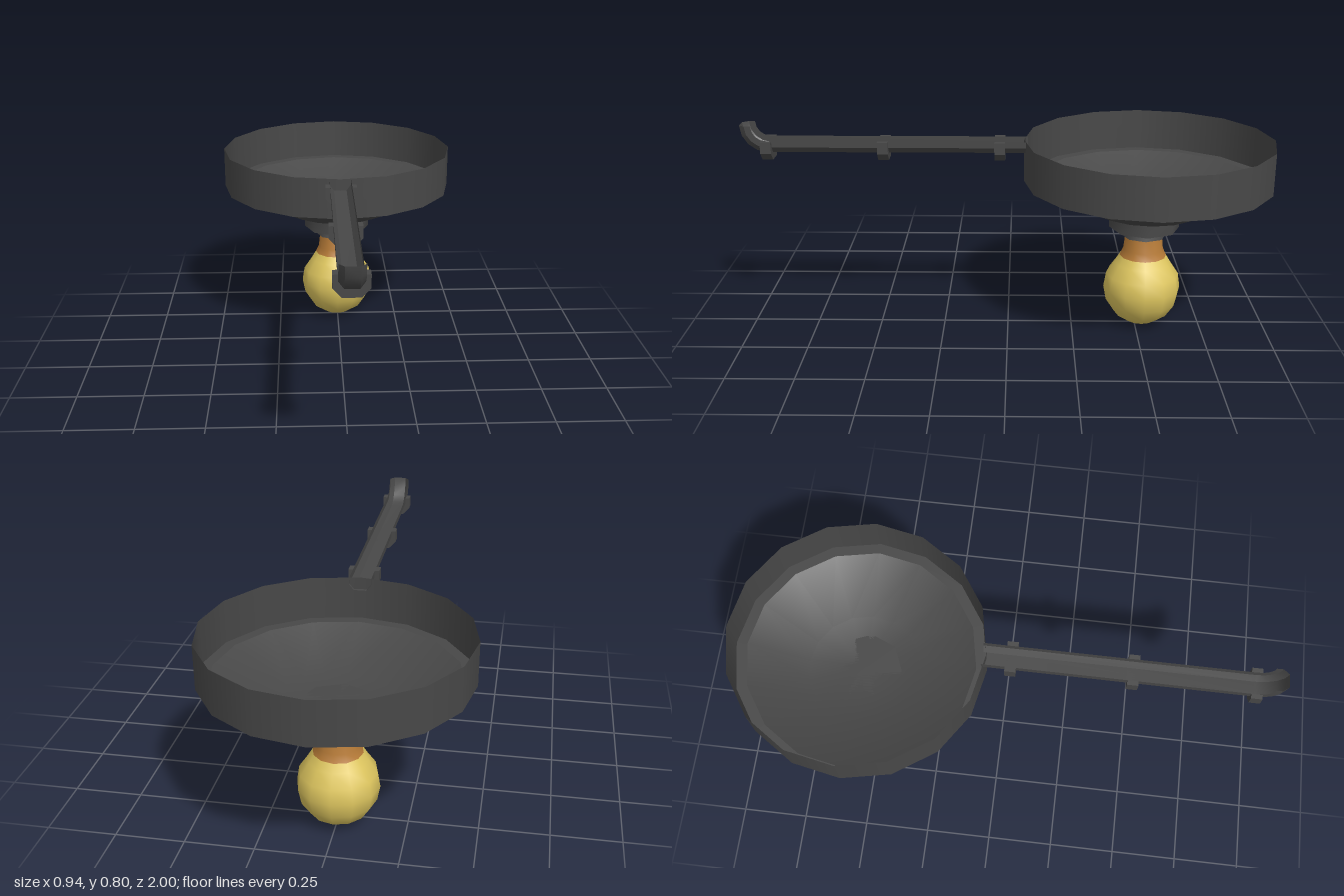
import * as THREE from 'three';
import { toCreasedNormals } from 'three/addons/utils/BufferGeometryUtils.js';

export function createModel() {
  const model = new THREE.Group();
  const iron = new THREE.MeshStandardMaterial({ color: 0x484848, side: THREE.DoubleSide });
  iron.name = 'dark iron';
  const copper = new THREE.MeshStandardMaterial({ color: 0xb87c38 });
  copper.name = 'copper';
  const glass = new THREE.MeshStandardMaterial({ color: 0xdec65f });
  glass.name = 'yellow glass';

  const add = (name, geometry, material, x = 0, y = 0, z = 0) => {
    const mesh = new THREE.Mesh(geometry, material);
    mesh.name = name;
    mesh.position.set(x, y, z);
    model.add(mesh);
    return mesh;
  };
  const lathe = (points, sides) =>
    new THREE.LatheGeometry(points.map(([r, y]) => new THREE.Vector2(r, y)), sides);

  // Open dish: upright wall, flat ledge and conical floor
  const cx = -0.003, dishZ = -0.53, bulbZ = -0.523;
  add('dishWall', lathe([[0.47, 0.583], [0.47, 0.743]], 16), iron, cx, 0, dishZ);
  add('dishLedge', lathe([[0.43, 0.583], [0.47, 0.583]], 16), iron, cx, 0, dishZ);
  add('dishFloor', lathe([[0, 0.475], [0.21, 0.475], [0.43, 0.583]], 16), iron, cx, 0, dishZ);

  // Socket under the dish
  const drum = (top, bottom, h) =>
    toCreasedNormals(new THREE.CylinderGeometry(top, bottom, h, 8), 1);
  add('socket', drum(0.135, 0.135, 0.075), iron, cx, 0.4375, bulbZ);
  add('socketCollar', drum(0.077, 0.086, 0.034), iron, cx, 0.384, bulbZ);

  // Bulb
  add('bulbGlass', lathe([[0, 0], [0.058, 0.014], [0.105, 0.046], [0.138, 0.096],
    [0.149, 0.153], [0.14, 0.208], [0.108, 0.255], [0.09, 0.285]], 12), glass, cx, 0, bulbZ);
  add('bulbNeck', lathe([[0.09, 0.285], [0.077, 0.312], [0.07, 0.372]], 12), copper, cx, 0, bulbZ);

  // Open channel arm: half-octagon section swept forward, then bent upward.
  // Section is [x, depth below the rim]
  const section = [[-0.041, 0], [-0.041, 0.024], [-0.024, 0.046],
    [0.024, 0.046], [0.041, 0.024], [0.041, 0]];
  const rimY = 0.744, bendY = 0.8, bendZ = 0.9, inner = bendY - rimY;
  const rows = [section.map(([x, d]) => [x, rimY - d, -0.075])];
  for (let i = 0; i <= 4; i++) {
    const a = (i / 4) * Math.PI / 2;
    rows.push(section.map(([x, d]) =>
      [x, bendY - (inner + d) * Math.cos(a), bendZ + (inner + d) * Math.sin(a) * 0.98]));
  }
  const index = [];
  const n = section.length;
  for (let r = 0; r < rows.length - 1; r++) {
    for (let c = 0; c < n - 1; c++) {
      const a = r * n + c, b = a + 1, d = a + n, e = d + 1;
      index.push(a, b, d, b, e, d);
    }
  }
  const channel = new THREE.BufferGeometry();
  channel.setAttribute('position', new THREE.Float32BufferAttribute(rows.flat(2), 3));
  channel.setIndex(index);
  add('channelArm', toCreasedNormals(channel, 0.5), iron, cx);

  // U-shaped brackets wrapped under the channel
  const outer = [[0.058, 0], [0.058, 0.044], [0.03, 0.074],
    [-0.03, 0.074], [-0.058, 0.044], [-0.058, 0]];
  const bracket = new THREE.Shape([...outer, ...section].map(([x, d]) => new THREE.Vector2(x, -d)));
  for (const z of [0.03, 0.465, 0.9]) {
    const geometry = new THREE.ExtrudeGeometry(bracket, { depth: 0.04, bevelEnabled: false });
    add('armBracket', geometry, iron, cx, rimY, z - 0.02);
  }

  return model;
}
